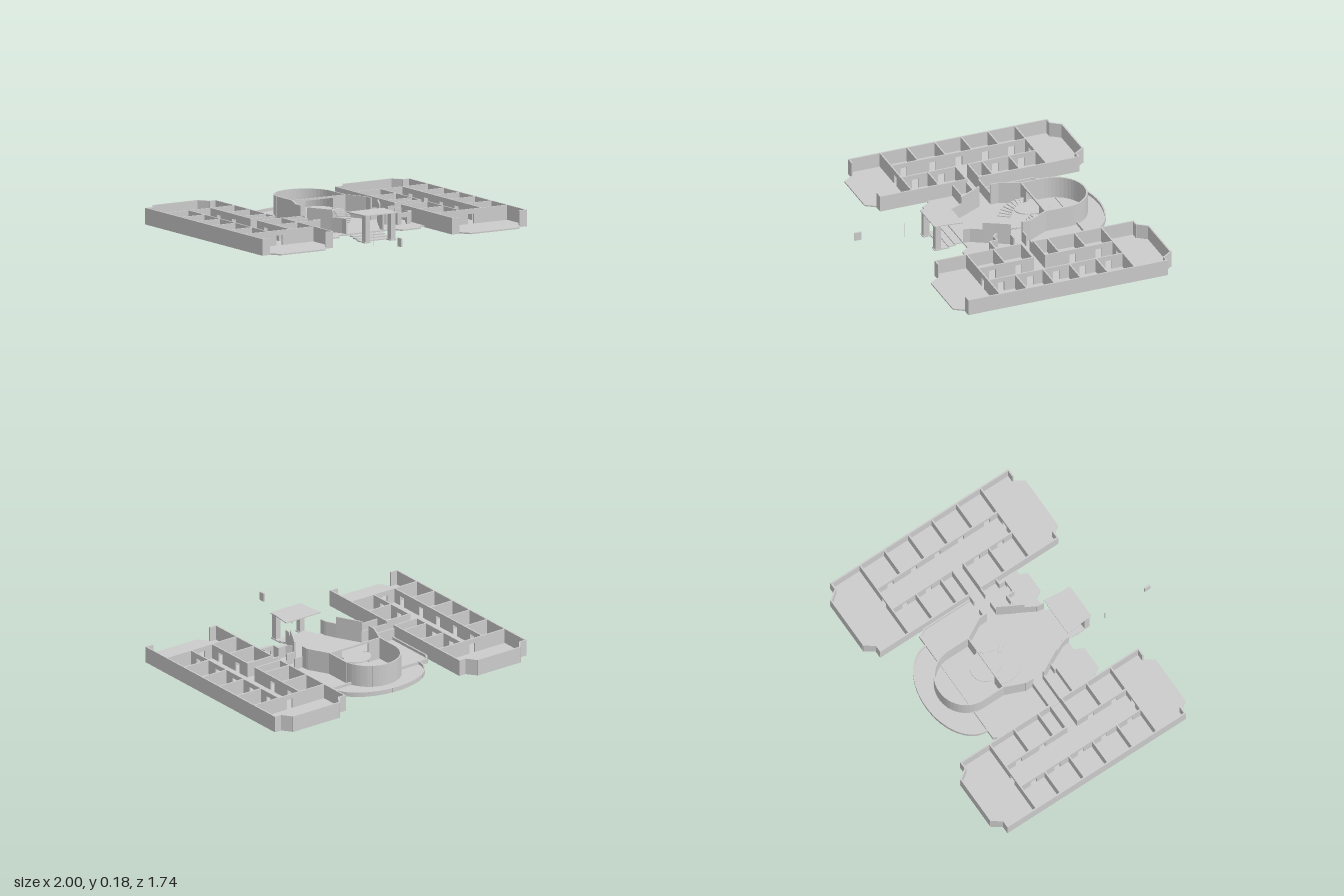
import * as THREE from 'three';

const MAT = new THREE.MeshStandardMaterial({ color: 0xcccccc, flatShading: true, side: THREE.DoubleSide });
const BASE = 0.025, FLOOR = 0.036, LOW = 0.132, TALL = 0.18, T = 0.01;

function add(parent, geo, name) {
  const m = new THREE.Mesh(geo, MAT);
  m.name = name;
  parent.add(m);
  return m;
}

function box(parent, name, w, h, d, x, y, z) {
  const m = add(parent, new THREE.BoxGeometry(w, h, d), name);
  m.position.set(x, y, z);
  return m;
}

// Flat plate from an [x, z] outline, between two heights
function slab(parent, name, pts, y0 = BASE + 0.002, y1 = FLOOR) {
  const shape = new THREE.Shape(pts.map(([x, z]) => new THREE.Vector2(x, -z)));
  const geo = new THREE.ExtrudeGeometry(shape, { depth: y1 - y0, bevelEnabled: false });
  geo.rotateX(-Math.PI / 2).translate(0, y0, 0);
  return add(parent, geo, name);
}

// Upright wall between two [x, z] points; doors are distances along the wall
function wall(parent, name, a, b, top = LOW, doors = [], doorW = 0.045, doorTop = 0.1) {
  const dx = b[0] - a[0], dz = b[1] - a[1], len = Math.hypot(dx, dz), e = T / 2;
  const s = new THREE.Shape();
  s.moveTo(-e, BASE).lineTo(len + e, BASE).lineTo(len + e, top).lineTo(-e, top).closePath();
  for (const d of doors) {
    const h = new THREE.Path(), x0 = d - doorW / 2, x1 = d + doorW / 2;
    h.moveTo(x0, FLOOR).lineTo(x0, doorTop).lineTo(x1, doorTop).lineTo(x1, FLOOR).closePath();
    s.holes.push(h);
  }
  const geo = new THREE.ExtrudeGeometry(s, { depth: T, bevelEnabled: false }).translate(0, 0, -e);
  const m = add(parent, geo, name);
  m.position.set(a[0], 0, a[1]);
  m.rotation.y = -Math.atan2(dz, dx);
}

function wallChain(parent, name, pts, top) {
  for (let i = 1; i < pts.length; i++) wall(parent, name, pts[i - 1], pts[i], top);
}

// Points on an ellipse arc behind the hall, from -x round to +x
function backArc(cx, cz, rx, rz, n) {
  return Array.from({ length: n + 1 }, (_, i) => {
    const a = Math.PI - (Math.PI * i) / n;
    return [cx + rx * Math.cos(a), cz - rz * Math.sin(a)];
  });
}

// Room wing; side is +1 when its inner wall is on local +x
function makeWing(name, cx, h, side) {
  const g = new THREE.Group();
  g.name = name;
  g.position.x = cx;
  const i = h - 0.052, c = h - 0.1, e = h - T / 2, p = 0.083;
  slab(g, 'wingFloor', [[-h, -0.8], [-i, -0.8], [-c, -0.87], [c, -0.87], [i, -0.8], [h, -0.8],
    [h, 0.56], [i, 0.56], [c, 0.63], [-c, 0.63], [-i, 0.56], [-h, 0.56]]);
  // Closed back bay and open front terrace
  wallChain(g, 'backWall', [[-e, -0.8], [-i, -0.8], [-c, -0.865], [c, -0.865], [i, -0.8], [e, -0.8]]);
  for (const s of [-1, 1]) {
    wall(g, 'terraceStub', [s * e, 0.56], [s * i, 0.56]);
    if (s === side) {
      wall(g, 'innerWall', [s * e, -0.8], [s * e, -0.115]);
      wall(g, 'innerWall', [s * e, -0.03], [s * e, 0.56]);
    } else wall(g, 'outerWall', [s * e, -0.8], [s * e, 0.56]);
  }
  for (const z of [-0.58, 0.345]) wall(g, 'crossWall', [-e, z], [e, z], LOW, [e]);
  // Corridor walls with a door for each room
  const doors = [0.1, 0.28, 0.66, 0.84];
  wall(g, 'corridorWall', [-side * p, -0.58], [-side * p, 0.345], LOW, [0.1, 0.28, 0.46, 0.64, 0.84]);
  wall(g, 'corridorWall', [side * p, -0.58], [side * p, -0.115], LOW, doors.slice(0, 2));
  wall(g, 'corridorWall', [side * p, -0.03], [side * p, 0.345], LOW, [0.1, 0.28]);
  for (const z of [-0.395, -0.21, -0.03, 0.16]) wall(g, 'roomPartition', [-side * e, z], [-side * p, z]);
  for (const z of [-0.395, -0.21, -0.115, -0.03, 0.16]) wall(g, 'roomPartition', [side * p, z], [side * e, z]);
  return g;
}

function makeHall() {
  const g = new THREE.Group();
  g.name = 'centralHall';
  slab(g, 'hallFloor', [[-0.46, -0.47], [-0.42, -0.52], [0.4, -0.52], [0.435, -0.47], [0.435, 0.24], [0.4, 0.24],
    [0.375, 0.29], [0.235, 0.29], [0.2, 0.24], [-0.215, 0.24], [-0.245, 0.3], [-0.405, 0.3],
    [-0.435, 0.245], [-0.46, 0.245]]);

  // Rounded back terrace with a low rim
  const rim = backArc(-0.013, -0.525, 0.345, 0.227, 32);
  slab(g, 'backTerrace', rim);
  wallChain(g, 'terraceRim', rim, 0.055);
  wallChain(g, 'sideRim', [[-0.455, -0.115], [-0.455, -0.47], [-0.42, -0.52], [-0.215, -0.52]], 0.055);
  wallChain(g, 'sideRim', [[0.185, -0.52], [0.4, -0.52], [0.43, -0.47], [0.43, -0.115]], 0.055);

  // Tall rotunda
  const ring = backArc(-0.014, -0.455, 0.2, 0.197, 24);
  wallChain(g, 'rotundaWall', [[-0.214, -0.3], ...ring, [0.186, -0.3]], TALL);
  wall(g, 'rotundaFrontWall', [-0.214, -0.3], [0.186, -0.3], TALL, [0.2], 0.21, 0.168);

  // Many-sided hall walls, lower beside the entrance
  wallChain(g, 'hallWall', [[-0.214, -0.3], [-0.27, -0.165], [-0.27, -0.115]], TALL);
  wallChain(g, 'hallWall', [[-0.27, -0.03], [-0.23, 0.045], [-0.19, 0.12]], TALL);
  wallChain(g, 'hallWall', [[0.186, -0.3], [0.258, -0.165], [0.258, -0.115]], TALL);
  wallChain(g, 'hallWall', [[0.258, -0.03], [0.215, 0.045], [0.175, 0.12]], TALL);
  wallChain(g, 'entranceWall', [[-0.19, 0.12], [-0.155, 0.195], [-0.152, 0.235]], LOW);
  wallChain(g, 'entranceWall', [[0.175, 0.12], [0.132, 0.195], [0.125, 0.235]], LOW);

  // Links to the wings and front side rooms
  for (const z of [-0.115, -0.03]) {
    wall(g, 'linkWall', [-0.465, z], [-0.27, z], 0.112);
    wall(g, 'linkWall', [0.39, z], [0.435, z], 0.112);
    wall(g, 'linkWall', [0.258, z], [0.32, z], 0.112);
  }
  wallChain(g, 'sideRoomWall', [[-0.465, 0.065], [-0.275, 0.065], [-0.275, 0.05], [-0.23, 0.05]], 0.112);
  wallChain(g, 'sideRoomWall', [[0.215, 0.045], [0.25, 0.08], [0.305, 0.08], [0.305, 0.13]], 0.112);
  wall(g, 'sideRoomWall', [0.305, 0.13], [0.395, 0.13], 0.112, [0.045], 0.04, 0.08);
  wallChain(g, 'sideRoomWall', [[0.395, 0.13], [0.395, 0.085], [0.435, 0.085]], 0.112);
  return g;
}

// Twin curved flights rising to a shared landing
function makeStairs() {
  const g = new THREE.Group();
  g.name = 'twinStairs';
  const cx = -0.014, cz = -0.225, n = 8, r0 = 0.078, r1 = 0.162;
  const from = -1.0, to = 0.45;
  for (const s of [-1, 1]) for (let i = 0; i < n; i++) {
    const a0 = from + ((to - from) * i) / n, a1 = from + ((to - from) * (i + 1)) / n;
    const at = (r, a) => [cx + s * r * Math.cos(a), cz - r * Math.sin(a)];
    const y = FLOOR + 0.008 * (i + 1);
    slab(g, 'stairTread', [at(r0, a0), at(r1, a0), at(r1, a1), at(r0, a1)], y - 0.006, y);
  }
  const front = backArc(cx, 0, 0.08, 0.12, 14).map(([x, z]) => [x, -0.295 - z]).reverse();
  slab(g, 'landing', [...backArc(cx, -0.3, 0.105, 0.105, 16), ...front], 0.1, 0.106);
  return g;
}

function makePortico() {
  const g = new THREE.Group();
  g.name = 'portico';
  const plan = [[-0.152, 0.24], [0.125, 0.24], [0.108, 0.38], [0.112, 0.42], [0.1, 0.43], [-0.128, 0.43], [-0.136, 0.42], [-0.135, 0.38]];
  slab(g, 'porticoRoof', plan, 0.174, TALL);
  // Entrance steps
  for (let i = 0; i < 3; i++) box(g, 'entranceStep', 0.24, 0.007, 0.05, -0.014, 0.005 + i * 0.009, 0.35 - i * 0.042);
  for (const x of [-0.11, 0.082]) {
    box(g, 'porticoColumn', 0.036, 0.175, 0.04, x, 0.0875, 0.4);
    box(g, 'columnFoot', 0.046, 0.008, 0.05, x, 0.004, 0.4);
  }
  return g;
}

export function createModel() {
  const model = new THREE.Group();
  model.name = 'openPlanBuilding';
  model.add(makeWing('rightWing', -0.7325, 0.2675, 1), makeWing('leftWing', 0.716, 0.282, -1));
  model.add(makeHall(), makeStairs(), makePortico());
  // Free-standing pieces in front of the entrance
  box(model, 'gatePanel', 0.012, 0.055, 0.042, -0.145, 0.0725, 0.85);
  box(model, 'thinPost', 0.004, 0.1, 0.004, -0.14, 0.05, 0.53);
  return model;
}
